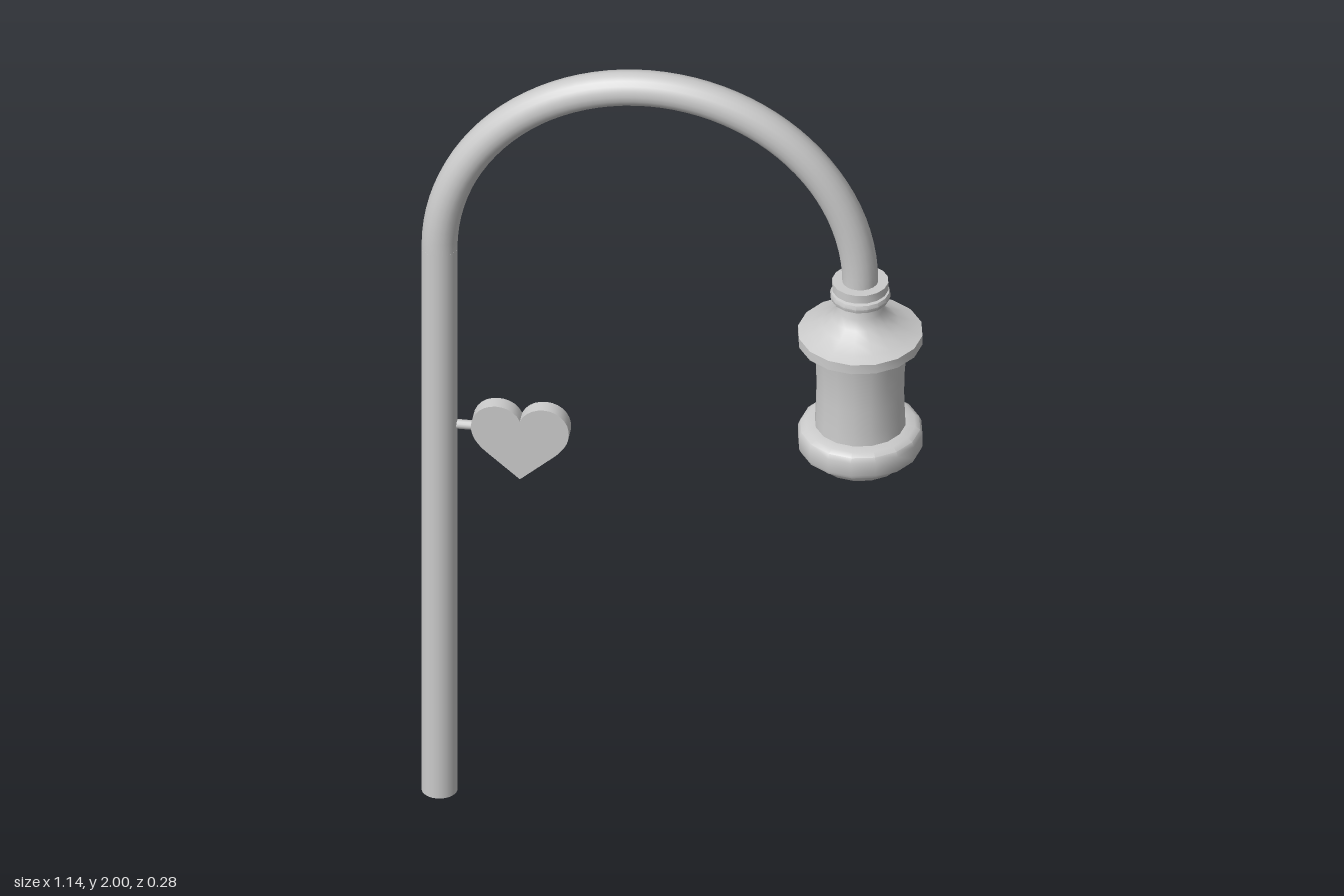
import * as THREE from 'three';
import { toCreasedNormals } from 'three/addons/utils/BufferGeometryUtils.js';

const POLE_X = -0.53, LAMP_X = 0.43, POLE_R = 0.041, SPRING_Y = 1.48;

export function createModel() {
  const model = new THREE.Group();
  const material = new THREE.MeshStandardMaterial({ color: 0xcccccc });
  const add = (name, geometry, x = 0, y = 0, z = 0) => {
    const mesh = new THREE.Mesh(geometry, material);
    mesh.name = name;
    mesh.position.set(x, y, z);
    model.add(mesh);
    return mesh;
  };
  const lathe = (name, profile) => {
    const points = profile.map(([r, y]) => new THREE.Vector2(r, y));
    add(name, toCreasedNormals(new THREE.LatheGeometry(points, 16), 0.65), LAMP_X);
  };

  // Straight pole, closed at the foot
  add('pole', new THREE.CylinderGeometry(POLE_R, POLE_R, SPRING_Y, 24), POLE_X, SPRING_Y / 2);

  // Half-circle arm from the pole over to the lantern
  const arcR = (LAMP_X - POLE_X) / 2;
  const arm = new THREE.TorusGeometry(arcR, POLE_R, 20, 48, Math.PI);
  add('curvedArm', arm, (POLE_X + LAMP_X) / 2, SPRING_Y);

  // Lantern, each profile running from bottom to top
  lathe('bottomDome', [
    [0, 0.97], [0.035, 0.973], [0.07, 0.983], [0.1, 1.003], [0.118, 1.025], [0.122, 1.04],
  ]);
  lathe('bottomRing', [
    [0.1, 1.036], [0.138, 1.036], [0.142, 1.045], [0.142, 1.078],
    [0.137, 1.09], [0.125, 1.098], [0.1, 1.1],
  ]);
  lathe('lanternBody', [
    [0.104, 1.09], [0.102, 1.13], [0.1, 1.19], [0.101, 1.24], [0.105, 1.29], [0.11, 1.33],
  ]);
  lathe('lanternRoof', [
    [0.1, 1.323], [0.142, 1.323], [0.142, 1.347], [0.118, 1.355], [0.088, 1.37],
    [0.065, 1.388], [0.053, 1.41], [0.05, 1.445],
  ]);
  lathe('collar', [
    [0.045, 1.438], [0.066, 1.438], [0.069, 1.448], [0.066, 1.457], [0.056, 1.459],
    [0.056, 1.463], [0.064, 1.463], [0.064, 1.484], [0.03, 1.484],
  ]);

  // Heart plate, drawn clockwise from the notch
  const heart = new THREE.Shape();
  heart.moveTo(0, 1.033);
  heart.bezierCurveTo(0.02, 1.08, 0.09, 1.08, 0.108, 1.03);
  heart.bezierCurveTo(0.12, 0.99, 0.1, 0.965, 0.08, 0.945);
  heart.lineTo(0, 0.875);
  heart.lineTo(-0.08, 0.945);
  heart.bezierCurveTo(-0.1, 0.965, -0.12, 0.99, -0.108, 1.03);
  heart.bezierCurveTo(-0.09, 1.08, -0.02, 1.08, 0, 1.033);
  const plate = new THREE.ExtrudeGeometry(heart, { depth: 0.036, bevelEnabled: false, curveSegments: 10 });
  plate.translate(0, 0, -0.018);
  add('heart', toCreasedNormals(plate, 0.6), -0.344);

  // Short peg holding the heart to the pole
  const peg = new THREE.CylinderGeometry(0.011, 0.011, 0.09, 12);
  peg.rotateZ(Math.PI / 2);
  add('heartPeg', peg, -0.465, 1.0);

  return model;
}
